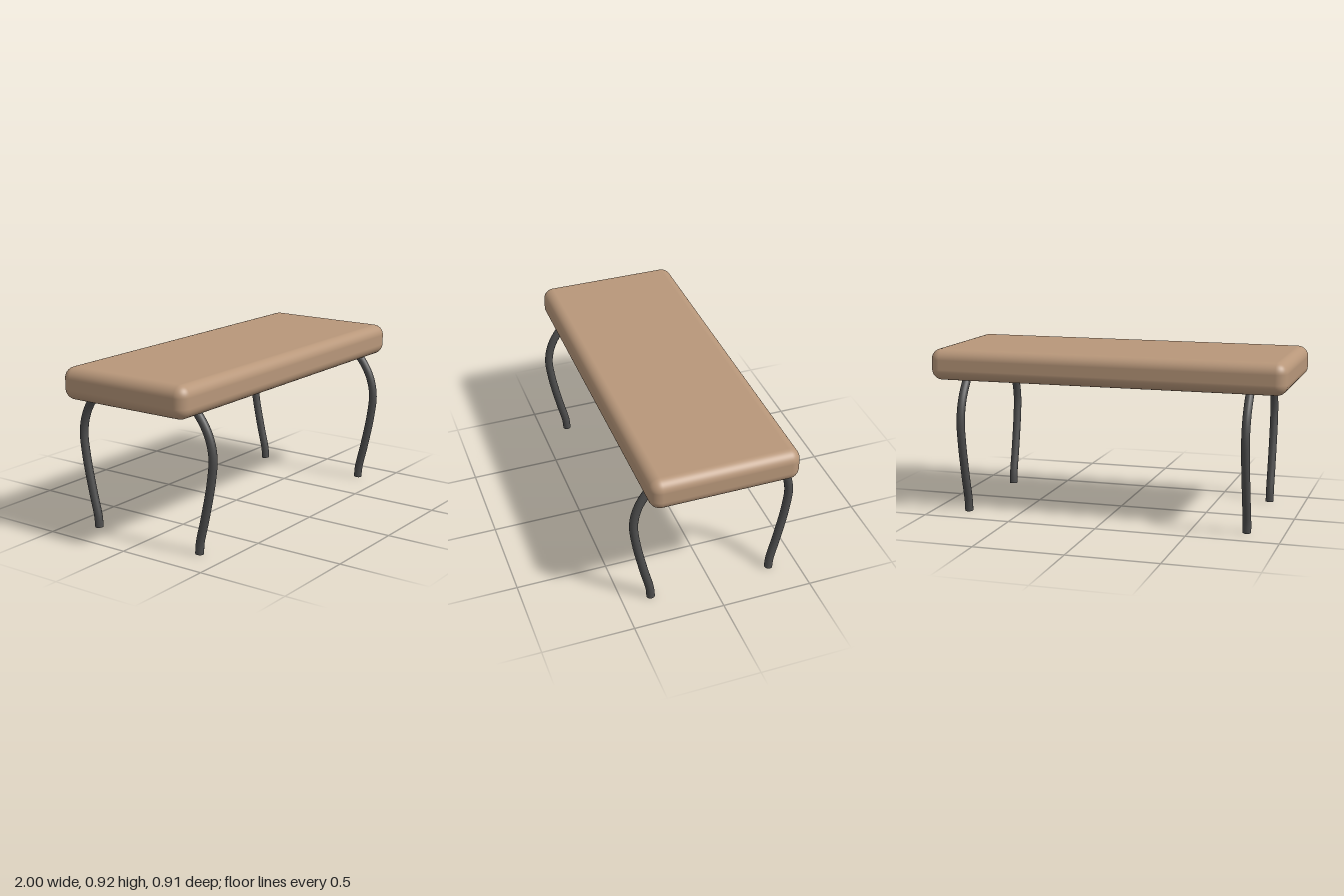
import * as THREE from 'three';
import { RoundedBoxGeometry } from 'three/addons/geometries/RoundedBoxGeometry.js';

const LEG_RADIUS = 0.023;

export function createModel() {
  const group = new THREE.Group();
  const cushionMaterial = new THREE.MeshStandardMaterial({ color: 0xb8977a });
  const legMaterial = new THREE.MeshStandardMaterial({ color: 0x4d4d4d });

  // padded seat slab
  const seat = new THREE.Mesh(new RoundedBoxGeometry(2, 0.175, 0.8, 6, 0.06), cushionMaterial);
  seat.name = 'seat';
  seat.position.y = 0.8325;
  group.add(seat);

  // bowed tubular legs, running up into the seat
  for (const side of [1, -1]) {
    for (const end of [1, -1]) {
      const path = new THREE.CatmullRomCurve3([
        [0.342, 0], [0.347, 0.06], [0.38, 0.2], [0.42, 0.4], [0.431, 0.53],
        [0.404, 0.64], [0.34, 0.74], [0.29, 0.785],
      ].map(([z, y]) => new THREE.Vector3(0, y, z * end)));

      const leg = new THREE.Group();
      leg.name = (end > 0 ? 'front' : 'back') + (side > 0 ? 'Left' : 'Right') + 'Leg';
      leg.position.x = 0.8 * side;

      const tube = new THREE.Mesh(new THREE.TubeGeometry(path, 40, LEG_RADIUS, 16), legMaterial);
      tube.name = 'legTube';

      // flat foot closing the tube
      const foot = new THREE.Mesh(new THREE.CircleGeometry(LEG_RADIUS, 16), legMaterial);
      foot.name = 'legFoot';
      foot.rotation.x = Math.PI / 2;
      foot.position.set(0, 0, 0.342 * end);

      leg.add(tube, foot);
      group.add(leg);
    }
  }
  return group;
}
